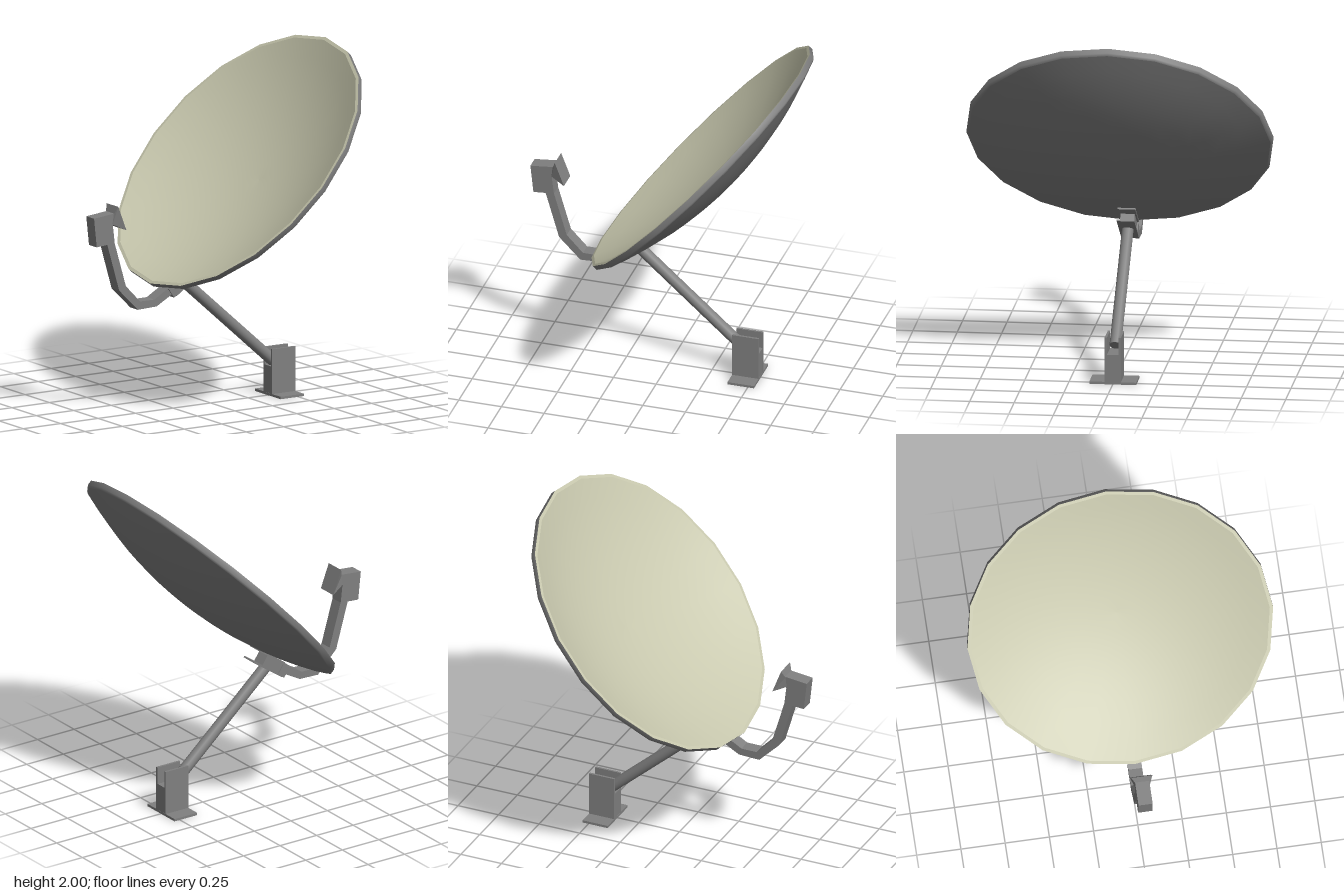
import * as THREE from 'three';

const grey = new THREE.MeshStandardMaterial({ color: 0x808080 });
grey.name = 'greyMetal';
const cream = new THREE.MeshStandardMaterial({ color: 0xc8c8ae });
cream.name = 'creamReflector';

const V2 = (p) => new THREE.Vector2(p[0], p[1]);

function add(parent, name, geometry, material = grey) {
  const mesh = new THREE.Mesh(geometry, material);
  mesh.name = name;
  parent.add(mesh);
  return mesh;
}

// Flat side outline pushed out to the given width, centred on z = 0
function slab(parent, name, outline, width) {
  const geometry = new THREE.ExtrudeGeometry(new THREE.Shape(outline.map(V2)), {
    depth: width, bevelEnabled: false,
  });
  geometry.translate(0, 0, -width / 2);
  return add(parent, name, geometry);
}

function box(parent, name, size, pos) {
  const mesh = add(parent, name, new THREE.BoxGeometry(...size));
  mesh.position.set(...pos);
  return mesh;
}

// Bowl profile from the centre outwards; y = 0 is the rim plane
function bowl(radius, rimY, depth) {
  const points = [];
  for (let i = 0; i <= 8; i++) {
    const t = i / 8;
    points.push(new THREE.Vector2(radius * t, rimY - depth * (1 - t * t)));
  }
  return points;
}

function makeDish() {
  const dish = new THREE.Group();
  dish.name = 'dish';
  const lathe = (name, points, material) =>
    add(dish, name, new THREE.LatheGeometry(points, 20), material);
  lathe('dishBack', bowl(0.85, -0.04, 0.175), grey);
  lathe('dishLip', [[0.85, -0.04], [0.864, -0.03], [0.864, 0]].map(V2), grey);
  lathe('dishRim', [[0.864, 0], [0.845, 0]].map(V2), cream);
  lathe('dishFace', bowl(0.845, 0, 0.19).reverse(), cream);
  dish.position.set(0.183, 1.367, 0);
  dish.rotation.z = 0.827;
  return dish;
}

// Flared horn: a small rear rectangle widening to the mouth
function makeHorn() {
  const geometry = new THREE.BoxGeometry(1, 1, 1).toNonIndexed();
  const p = geometry.attributes.position;
  for (let i = 0; i < p.count; i++) {
    const mouth = p.getX(i) > 0;
    const top = p.getY(i) > 0;
    const [x, y] = mouth
      ? (top ? [-0.654, 1.21] : [-0.6, 1.07])
      : (top ? [-0.672, 1.165] : [-0.68, 1.108]);
    p.setXYZ(i, x, y, Math.sign(p.getZ(i)) * (mouth ? 0.06 : 0.04));
  }
  geometry.computeVertexNormals();
  return geometry;
}

export function createModel() {
  const model = new THREE.Group();
  model.name = 'satelliteDish';
  model.add(makeDish());

  // Feed arm, receiver and horn
  slab(model, 'feedArm', [
    [-0.715, 1.0], [-0.635, 0.725], [-0.51, 0.6], [-0.385, 0.605], [-0.25, 0.68],
    [-0.275, 0.72], [-0.4, 0.646], [-0.495, 0.646], [-0.59, 0.745], [-0.665, 1.0],
  ], 0.078);
  slab(model, 'receiver', [
    [-0.803, 1.156], [-0.785, 0.99], [-0.665, 1.0], [-0.677, 1.1], [-0.67, 1.17],
  ], 0.08);
  add(model, 'feedHorn', makeHorn());

  // Tilted bracket under the bowl: core block between two flanges
  const bracket = new THREE.Group();
  bracket.name = 'mountBracket';
  bracket.position.set(-0.2, 0.74, 0);
  bracket.rotation.z = 0.61;
  box(bracket, 'bracketCore', [0.17, 0.075, 0.08], [-0.02, 0, 0]);
  box(bracket, 'lowerFlange', [0.235, 0.01, 0.1], [0.02, -0.035, 0]);
  box(bracket, 'upperFlange', [0.2, 0.01, 0.1], [0.035, 0.037, 0]);
  box(bracket, 'armClamp', [0.05, 0.065, 0.095], [-0.09, -0.005, 0]);
  model.add(bracket);

  // Slanted pole
  const a = new THREE.Vector3(-0.19, 0.728, 0);
  const b = new THREE.Vector3(0.415, 0.195, 0);
  const pole = add(model, 'pole', new THREE.CylinderGeometry(0.033, 0.033, a.distanceTo(b), 16));
  pole.position.copy(a).add(b).multiplyScalar(0.5);
  pole.quaternion.setFromUnitVectors(new THREE.Vector3(0, 1, 0), a.clone().sub(b).normalize());

  // Forked foot on a base plate
  box(model, 'basePlate', [0.155, 0.014, 0.264], [0.459, 0.007, 0]);
  box(model, 'footBlock', [0.153, 0.156, 0.066], [0.459, 0.092, 0]);
  for (const side of [-1, 1]) {
    box(model, side > 0 ? 'frontForkPlate' : 'backForkPlate', [0.155, 0.256, 0.013], [0.459, 0.142, side * 0.0395]);
  }
  return model;
}
